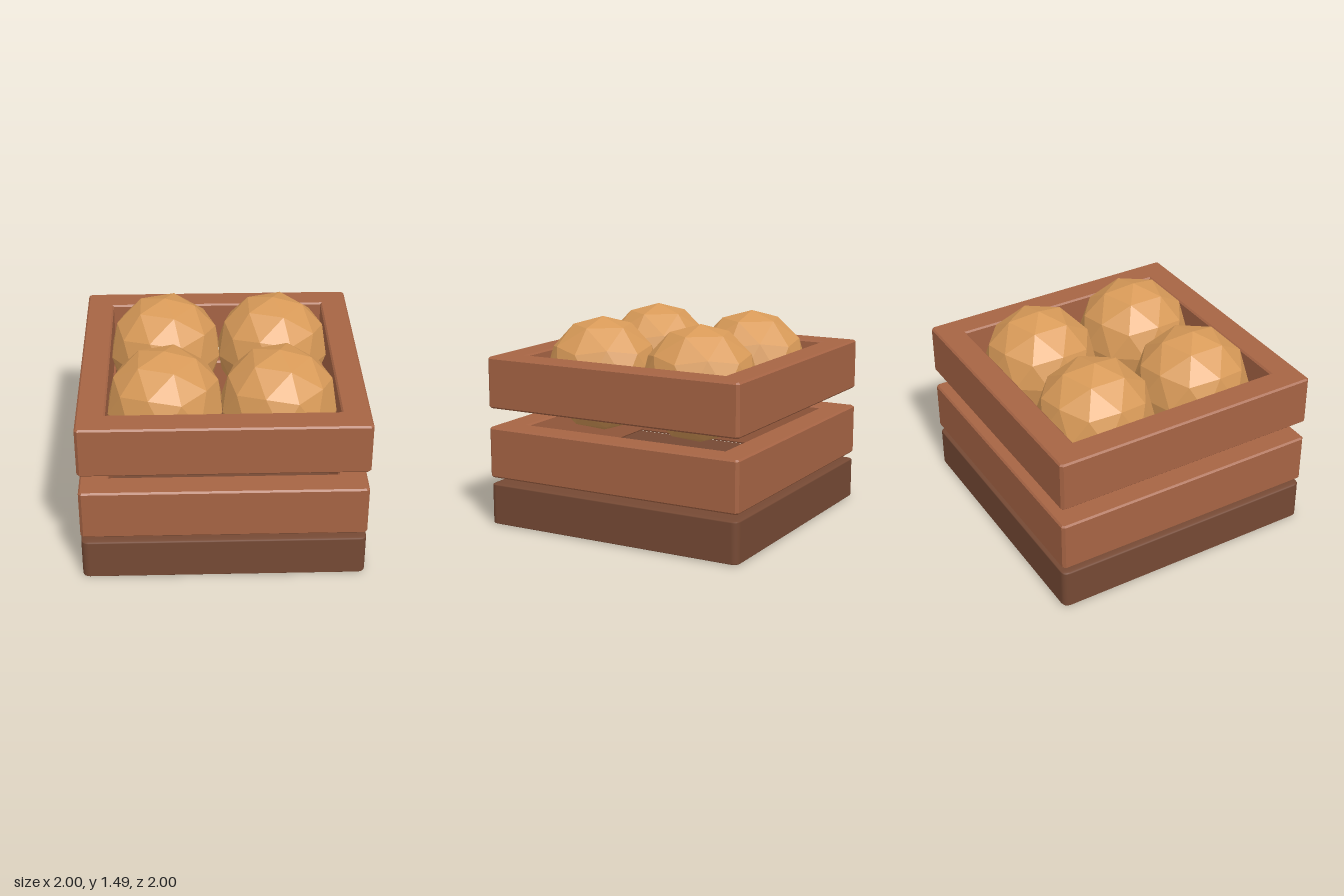
import * as THREE from 'three';
import { RoundedBoxGeometry } from 'three/addons/geometries/RoundedBoxGeometry.js';

// Square outline with slightly cut corners
function squareOutline(half, cut, target) {
  const h = half, k = half - cut;
  const pts = [[h, -k], [h, k], [k, h], [-k, h], [-h, k], [-h, -k], [-k, -h], [k, -h]];
  return target.setFromPoints(pts.map(([x, y]) => new THREE.Vector2(x, y)));
}

// Open square frame with softly bevelled edges, lying flat between y0 and y1
function frameGeometry(y0, y1) {
  const bevel = 0.012;
  const shape = squareOutline(1, 0.02, new THREE.Shape());
  const h = 0.8;
  shape.holes.push(new THREE.Path([[-h, -h], [-h, h], [h, h], [h, -h]].map(([x, y]) => new THREE.Vector2(x, y))));
  const geo = new THREE.ExtrudeGeometry(shape, {
    depth: y1 - y0 - 2 * bevel,
    bevelThickness: bevel, bevelSize: bevel, bevelOffset: -bevel, bevelSegments: 1,
  });
  return geo.rotateX(-Math.PI / 2).translate(0, y0 + bevel, 0);
}

export function createModel() {
  const group = new THREE.Group();
  const wood = new THREE.MeshStandardMaterial({ color: 0xa66444 });
  const darkWood = new THREE.MeshStandardMaterial({ color: 0x754934 });
  const produce = new THREE.MeshStandardMaterial({ color: 0xd89a58, flatShading: true });

  const add = (name, geometry, material) => {
    const mesh = new THREE.Mesh(geometry, material);
    mesh.name = name;
    group.add(mesh);
    return mesh;
  };

  // Solid base, rounded wide on the sides and tight in height
  add('base', new RoundedBoxGeometry(2, 1.22, 2, 2, 0.05).scale(1, 0.25, 1).translate(0, 0.1525, 0), darkWood);

  // Two slatted frames above it
  add('lowerFrame', frameGeometry(0.35, 0.72), wood);
  add('upperFrame', frameGeometry(0.86, 1.23), wood);

  // Four faceted balls, each with a five-sided corner pointing straight up
  const tilt = Math.atan(2 / (1 + Math.sqrt(5)));
  const ball = new THREE.IcosahedronGeometry(0.42, 1).rotateZ(-tilt);
  for (const x of [-0.4, 0.4]) {
    for (const z of [-0.4, 0.4]) {
      add('ball', ball, produce).position.set(x, 1.07, z);
    }
  }
  return group;
}
